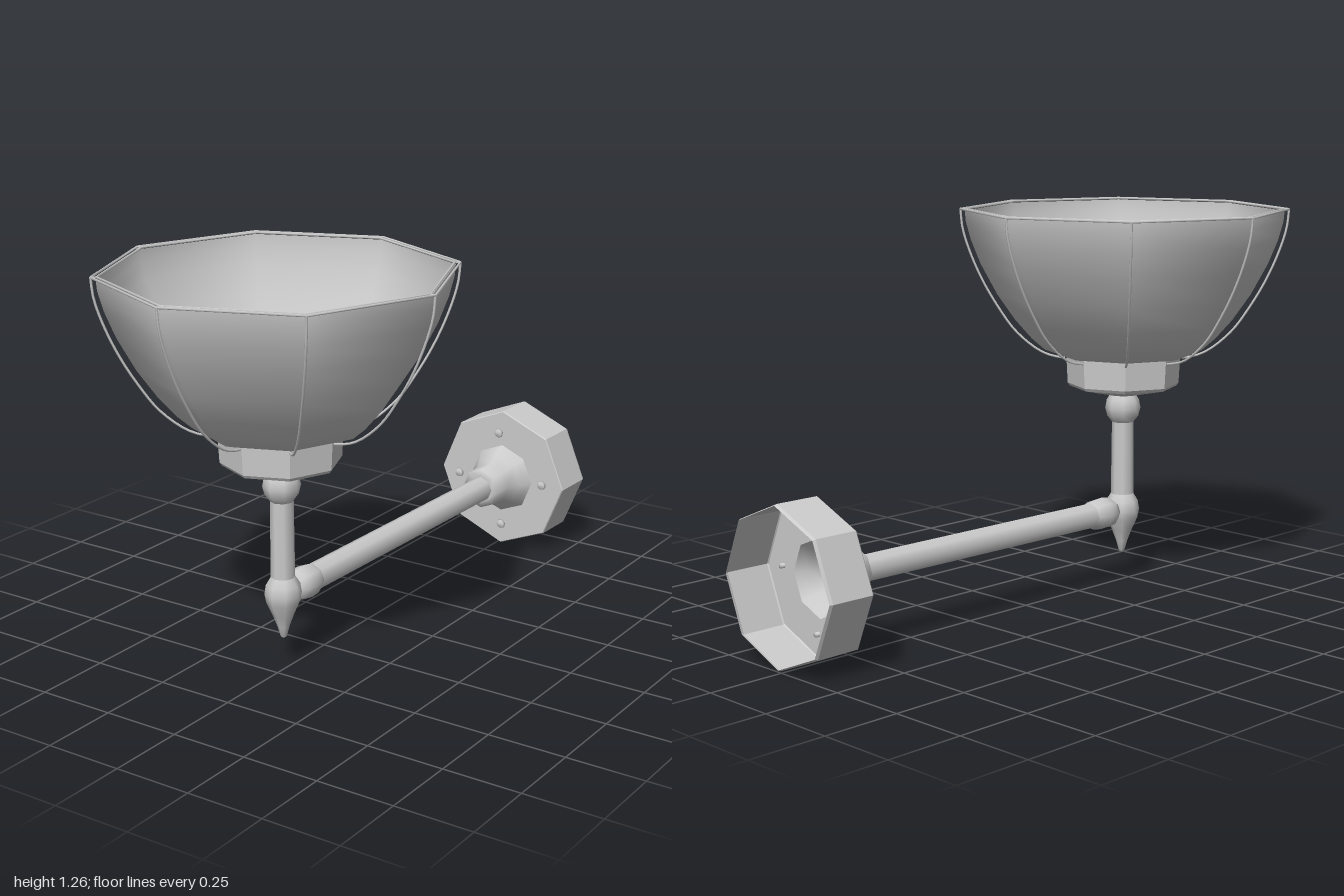
import * as THREE from 'three';

const SIDES = 8;

function material(flat = false) {
  return new THREE.MeshStandardMaterial({ color: 0xcccccc, flatShading: flat, side: THREE.DoubleSide });
}

// Octagonal turned part; profile points are [radius, height], first corner faces +z
function turned(name, profile, flat = false, sides = SIDES) {
  const points = profile.map(([r, y]) => new THREE.Vector2(r, y));
  const mesh = new THREE.Mesh(new THREE.LatheGeometry(points, sides), material(flat));
  mesh.name = name;
  return mesh;
}

// Thin wire through points
function wire(name, points, segments, radius = 0.004) {
  const curve = new THREE.CatmullRomCurve3(points);
  const mesh = new THREE.Mesh(new THREE.TubeGeometry(curve, segments, radius, 5), material());
  mesh.name = name;
  return mesh;
}

// Straight-sided octagonal wire hoop at a given height
function hoop(name, radius, y, thickness) {
  const mesh = new THREE.Mesh(new THREE.TorusGeometry(radius, thickness, 5, SIDES), material());
  mesh.rotation.x = Math.PI / 2;
  mesh.position.y = y;
  mesh.name = name;
  return mesh;
}

function createShade() {
  const shade = new THREE.Group();
  shade.name = 'shade';

  // Bowl, open at the bottom above the cup
  shade.add(turned('bowl', [
    [0.18, 0.775], [0.225, 0.78], [0.262, 0.793], [0.305, 0.83], [0.36, 0.892], [0.42, 0.978],
    [0.475, 1.08], [0.507, 1.16], [0.523, 1.22], [0.526, 1.255],
  ]));

  // Frame: two rim hoops, a rib along each corner, and a short tie at the rim
  shade.add(hoop('outerRim', 0.54, 1.26, 0.004), hoop('innerRim', 0.523, 1.26, 0.004));
  const rib = [
    [0.195, 0.765], [0.245, 0.775], [0.29, 0.797], [0.36, 0.857], [0.415, 0.933],
    [0.467, 1.022], [0.51, 1.12], [0.534, 1.2], [0.54, 1.26],
  ].map(([r, y]) => new THREE.Vector3(0, y, r));
  const tie = [new THREE.Vector3(0, 1.26, 0.521), new THREE.Vector3(0, 1.26, 0.54)];
  for (let i = 0; i < SIDES; i++) {
    const ribMesh = wire('rib', rib, 24);
    const tieMesh = wire('rimTie', tie, 1, 0.003);
    ribMesh.rotation.y = tieMesh.rotation.y = (i * Math.PI * 2) / SIDES;
    shade.add(ribMesh, tieMesh);
  }

  // Faceted cup holding the bowl
  shade.add(turned('cup', [
    [0.045, 0.642], [0.07, 0.648], [0.178, 0.672], [0.185, 0.682], [0.19, 0.778],
  ], true));
  return shade;
}

function createPost() {
  const post = new THREE.Group();
  post.name = 'post';
  post.add(turned('postShaft', [[0.038, 0.28], [0.036, 0.57]]));
  post.add(turned('upperKnuckle', [
    [0.036, 0.55], [0.052, 0.57], [0.059, 0.598], [0.054, 0.625], [0.042, 0.645],
  ]));
  post.add(turned('finial', [
    [0, 0.1], [0.01, 0.107], [0.019, 0.14], [0.034, 0.18], [0.052, 0.22],
    [0.058, 0.25], [0.053, 0.28], [0.036, 0.308],
  ]));
  return post;
}

// Arm and wall mount, turned about an axis running from the wall to the front
function createArm() {
  const arm = new THREE.Group();
  arm.name = 'armAndMount';
  arm.add(turned('armTube', [[0.043, -0.72], [0.043, 0.33]]));
  arm.add(turned('armKnuckle', [
    [0.043, 0.3], [0.051, 0.32], [0.054, 0.355], [0.05, 0.385], [0.034, 0.41], [0, 0.42],
  ]));
  arm.add(turned('flange', [
    [0.122, -0.842], [0.098, -0.805], [0.074, -0.765], [0.07, -0.7], [0.043, -0.7],
  ]));

  // Hollow wall plate, open at the back
  arm.add(turned('wallPlate', [
    [0.244, -1], [0.248, -0.99], [0.248, -0.846], [0.245, -0.842], [0.122, -0.842],
  ], true));

  // Four screws on the plate corners
  for (let i = 0; i < 4; i++) {
    const angle = (i * Math.PI) / 2 + 0.05;
    const screw = turned('screw', [
      [0, -0.855], [0.008, -0.855], [0.008, -0.832], [0.017, -0.83], [0.014, -0.823], [0, -0.821],
    ], false, 10);
    screw.position.set(Math.sin(angle) * 0.17, 0, Math.cos(angle) * 0.17);
    arm.add(screw);
  }
  arm.rotation.x = Math.PI / 2;
  arm.position.y = 0.25;
  return arm;
}

export function createModel() {
  const model = new THREE.Group();
  model.name = 'wallLamp';

  const upright = new THREE.Group();
  upright.name = 'upright';
  upright.add(createShade(), createPost());
  upright.position.z = 0.455;

  model.add(upright, createArm());
  // The whole lamp stands very slightly turned
  model.rotation.y = -0.016;
  return model;
}
